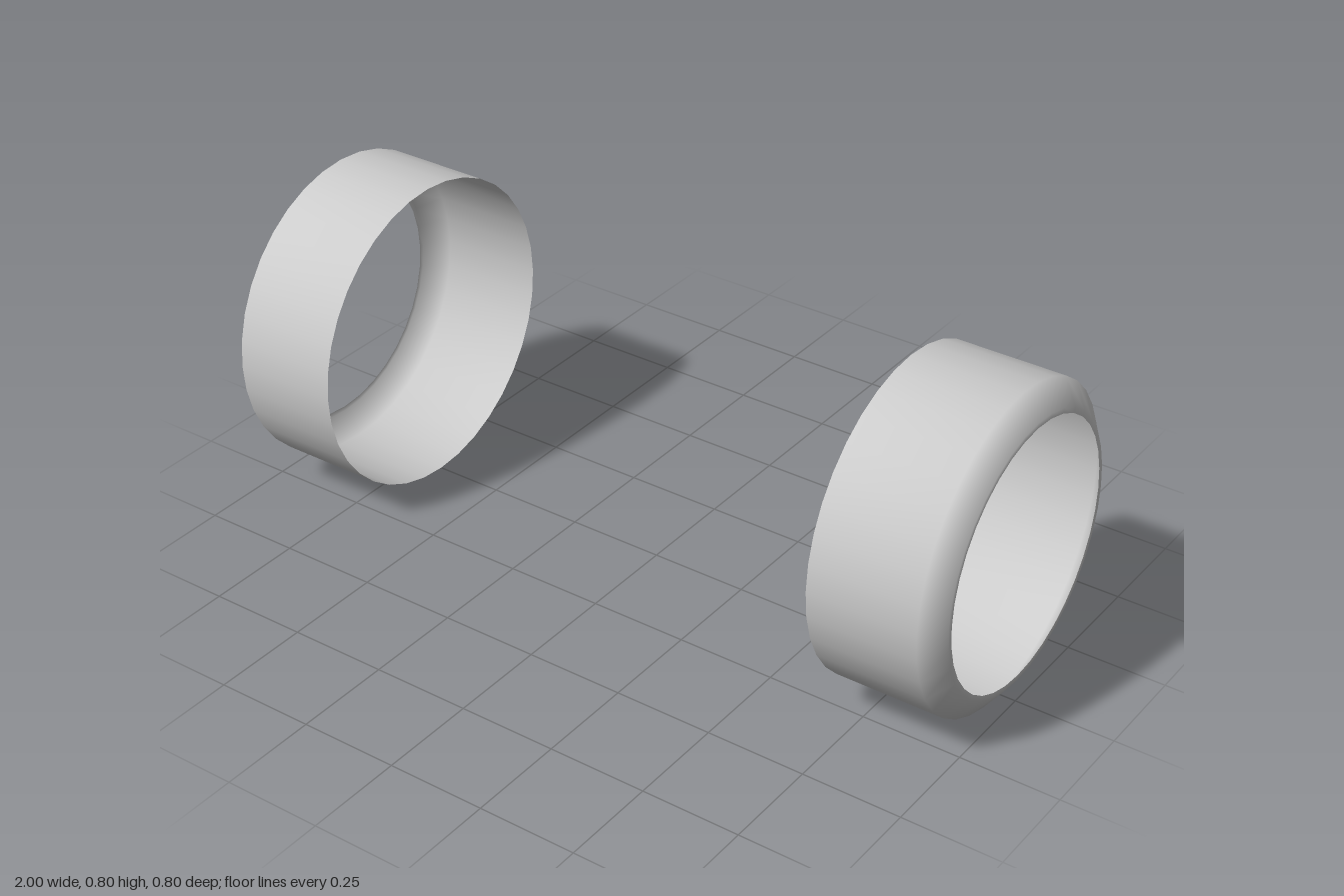
import * as THREE from 'three';

export function createModel() {
  const group = new THREE.Group();
  group.name = 'ringPair';
  const material = new THREE.MeshStandardMaterial({ color: 0xcccccc, side: THREE.DoubleSide });

  // Thin shell profile (radius, x): straight band, chamfer, narrow flat lip
  const profile = [
    [0.4, 0.68], [0.4, 0.957], [0.341, 1], [0.328, 1],
  ].map(([r, x]) => new THREE.Vector2(r, x));

  // Spin the profile, then lay its axis along x
  const shell = new THREE.LatheGeometry(profile, 36);
  shell.rotateZ(-Math.PI / 2);

  // One ring on each side, chamfers facing outward
  for (const [name, turn] of [['leftRing', 0], ['rightRing', Math.PI]]) {
    const ring = new THREE.Mesh(shell, material);
    ring.name = name;
    ring.position.y = 0.4;
    ring.rotation.y = turn;
    group.add(ring);
  }
  return group;
}
